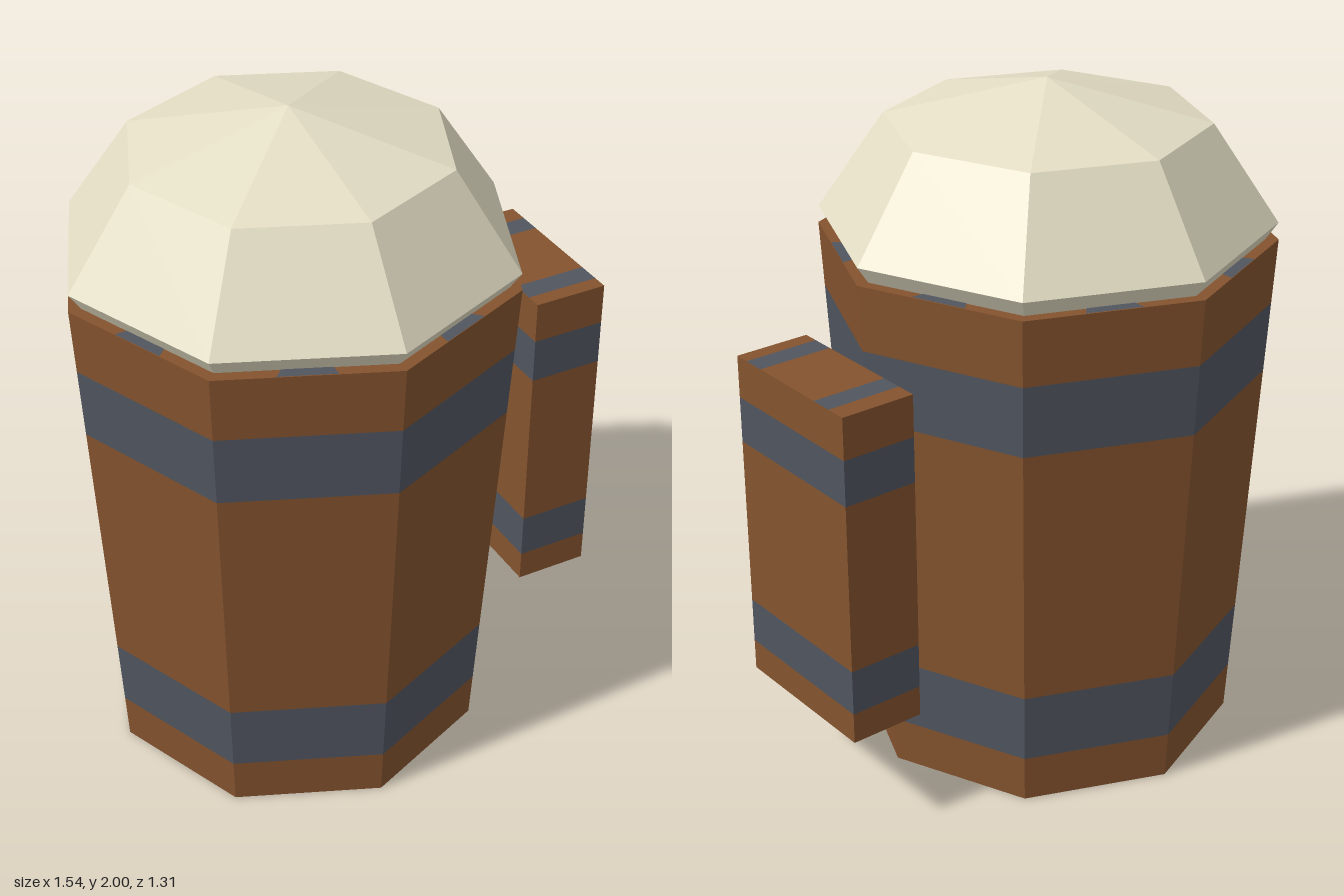
import * as THREE from 'three';

const wood = new THREE.MeshStandardMaterial({ color: 0x84532e });
wood.name = 'brown wood';
const iron = new THREE.MeshStandardMaterial({ color: 0x50555f });
iron.name = 'grey iron';
const foam = new THREE.MeshStandardMaterial({ color: 0xe4dec5 });
foam.name = 'cream foam';

// Heights of the band edges as fractions of a side: wood, iron, wood, iron, wood
const CUTS = [0, 0.093, 0.23, 0.739, 0.875, 1];
const cutAt = (v) => CUTS[Math.round(v * 5)];

const SIDES = 8;
const HEIGHT = 1.55, R_BOTTOM = 0.565, R_TOP = 0.655;

function flat(geometry) {
  const g = geometry.index ? geometry.toNonIndexed() : geometry;
  g.computeVertexNormals();
  return g;
}

// Slides the five rows of a geometry to the band edges and gives every second row the iron material
function banded(geometry, place) {
  const g = geometry.toNonIndexed();
  const p = g.attributes.position, n = g.attributes.normal, uv = g.attributes.uv;
  g.clearGroups();
  for (let i = 0; i < p.count; i += 3) {
    const row = Math.floor(((uv.getY(i) + uv.getY(i + 1) + uv.getY(i + 2)) / 3) * 5);
    g.addGroup(i, 3, row % 2);
  }
  const pos = new THREE.Vector3(), normal = new THREE.Vector3();
  for (let i = 0; i < p.count; i++) {
    pos.fromBufferAttribute(p, i);
    normal.fromBufferAttribute(n, i);
    place(pos, normal, cutAt(uv.getY(i)));
    p.setXYZ(i, pos.x, pos.y, pos.z);
  }
  g.computeVertexNormals();
  return g;
}

function add(parent, name, geometry, material) {
  const mesh = new THREE.Mesh(geometry, material);
  mesh.name = name;
  parent.add(mesh);
  return mesh;
}

// Ring of small iron wedges pointing in from the middle of each edge of an end disc
function wedges(radius) {
  const corner = (i) => {
    const a = (i / SIDES) * Math.PI * 2;
    return new THREE.Vector3(Math.cos(a) * radius, Math.sin(a) * radius, 0);
  };
  const points = [];
  for (let i = 0; i < SIDES; i++) {
    const a = corner(i), b = corner(i + 1);
    const tip = a.clone().lerp(b, 0.5).multiplyScalar(0.68);
    points.push(a.clone().lerp(b, 0.34), a.clone().lerp(b, 0.66), tip);
  }
  const g = new THREE.BufferGeometry().setFromPoints(points);
  g.computeVertexNormals();
  return g;
}

export function createModel() {
  const model = new THREE.Group();
  model.name = 'foamingMug';
  const mug = new THREE.Group();
  mug.name = 'mug';
  mug.position.x = -0.116;
  model.add(mug);

  // Tapered staves with two hoops
  const side = new THREE.CylinderGeometry(1, 1, 1, SIDES, 5, true);
  add(mug, 'barrelSide', banded(side, (p, n, f) => {
    const r = THREE.MathUtils.lerp(R_BOTTOM, R_TOP, f);
    p.set(p.x * r, f * HEIGHT, p.z * r);
  }), [wood, iron]);

  // End discs with their wedges
  for (const [name, radius, y, dir] of [['bottom', R_BOTTOM, 0, -1], ['rim', R_TOP, HEIGHT, 1]]) {
    const turn = -dir * Math.PI / 2;
    const disc = new THREE.CircleGeometry(radius, SIDES).rotateX(turn);
    add(mug, name + 'Disc', disc, wood).position.y = y;
    add(mug, name + 'Wedges', wedges(radius).rotateX(turn), iron).position.y = y + dir * 0.002;
  }

  // Faceted foam dome
  const dome = new THREE.SphereGeometry(0.652, SIDES, 4).scale(1, 0.4 / 0.652, 1);
  add(mug, 'foam', flat(dome), foam).position.y = 1.6;

  // Free-standing block handle, banded on every face
  const W = 0.226, H = 1, D = 0.5;
  const block = new THREE.BoxGeometry(W, H, D, 1, 5, 5);
  add(model, 'handle', banded(block, (p, n, f) => {
    if (Math.abs(n.y) > 0.5) p.z = n.y * (0.5 - f) * D;
    else p.y = (f - 0.5) * H;
  }), [wood, iron]).position.set(0.657, 0.824, 0);

  return model;
}
